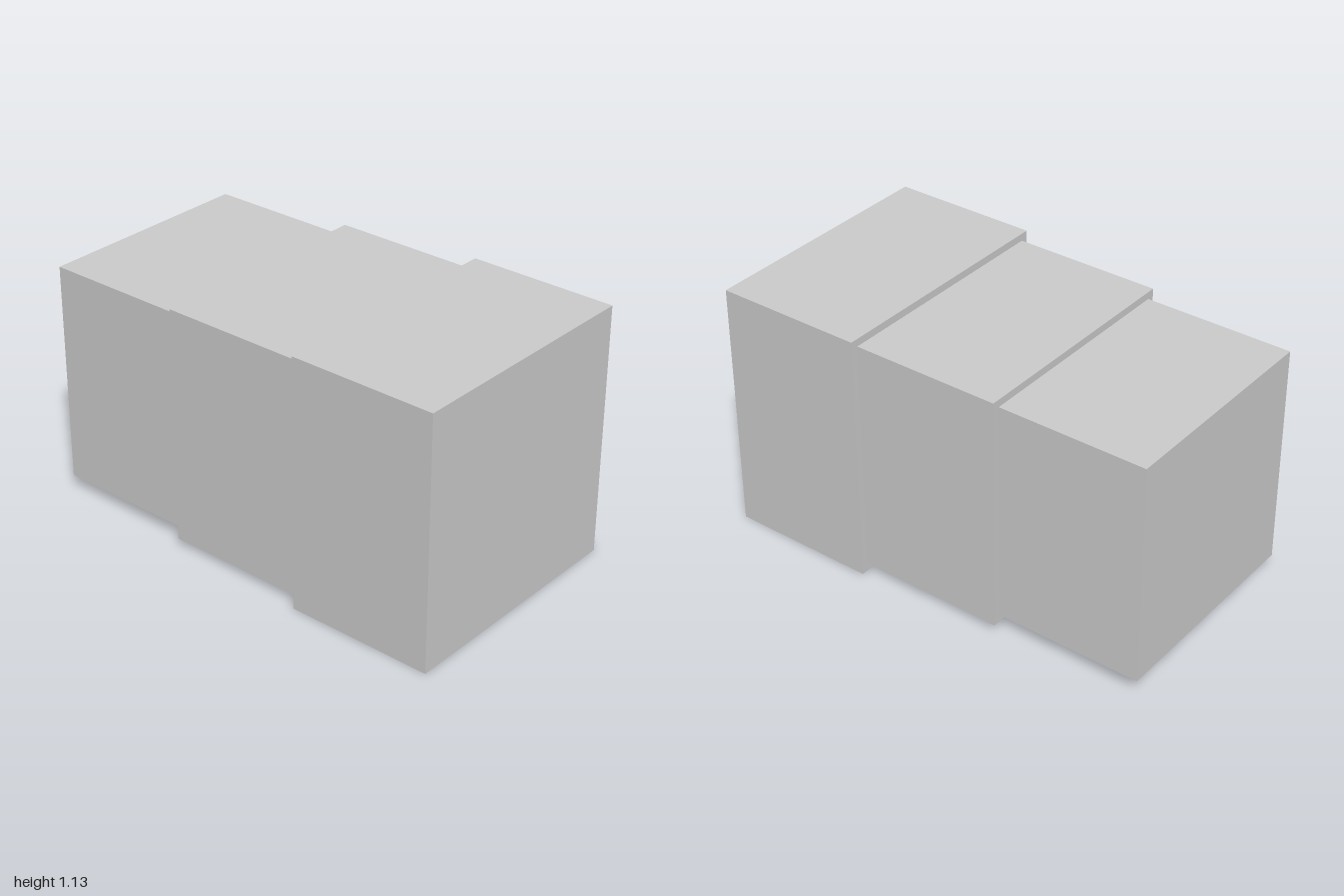
import * as THREE from 'three';

export function createModel() {
  const group = new THREE.Group();
  group.name = 'steppedBlock';
  const material = new THREE.MeshStandardMaterial({ color: 0xcccccc, flatShading: true });

  // Three concentric square blocks, stepping down in size from front to back
  const depth = 2 / 3;
  const sections = [
    ['frontBlock', 1.133],
    ['middleBlock', 1.066],
    ['backBlock', 1.0],
  ];
  const centreY = sections[0][1] / 2;

  sections.forEach(([name, size], i) => {
    const block = new THREE.Mesh(new THREE.BoxGeometry(size, size, depth), material);
    block.name = name;
    block.position.set(0, centreY, (1 - i) * depth);
    group.add(block);
  });

  return group;
}
